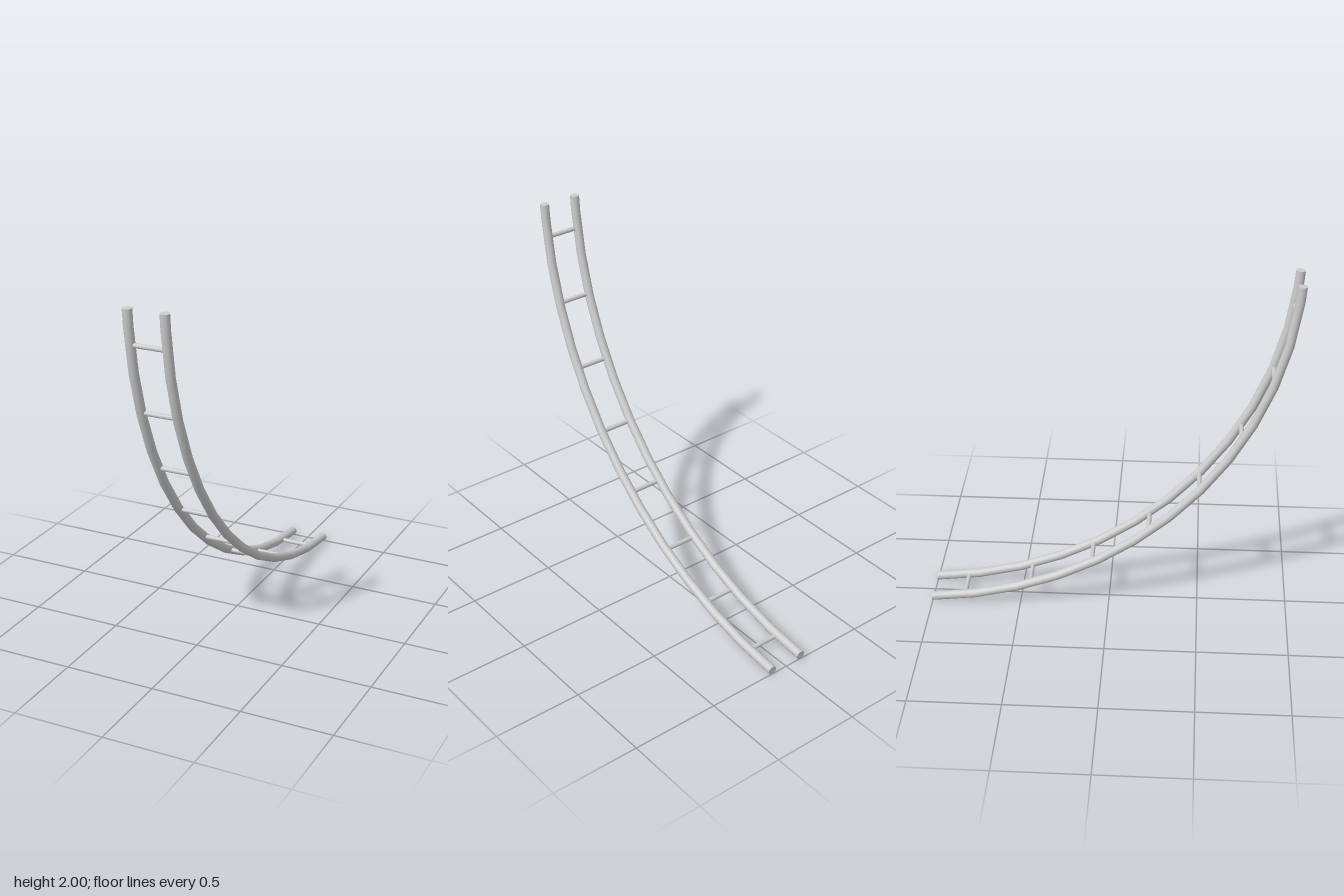
import * as THREE from 'three';

const DEG = Math.PI / 180;
const R = 2.1, CY = 2.1225, CZ = -1.1225; // circle that the ladder follows
const START = 3.3 * DEG, END = 86.7 * DEG, STEP = 6.74 * DEG, SEGMENTS = 13;
const RAIL_X = 0.1, RAIL_RADIUS = 0.025;
const RUNGS = 8, RUNG_STEP = 10.45 * DEG, RUNG_RADIUS = 0.0125;

// Bend an upright cylinder round the arc, row by row, turning its normals too
function bentRail() {
  const geo = new THREE.CylinderGeometry(RAIL_RADIUS, RAIL_RADIUS, 1, 20, SEGMENTS);
  const pos = geo.attributes.position, nor = geo.attributes.normal;
  for (let i = 0; i < pos.count; i++) {
    const row = Math.round((pos.getY(i) + 0.5) * SEGMENTS);
    const a = Math.min(START + row * STEP, END);
    const s = Math.sin(a), c = Math.cos(a);
    const rho = R + pos.getZ(i);
    pos.setXYZ(i, pos.getX(i), CY - rho * c, CZ + rho * s);
    const ny = nor.getY(i), nz = nor.getZ(i);
    nor.setXYZ(i, nor.getX(i), ny * s - nz * c, ny * c + nz * s);
  }
  return geo;
}

export function createModel() {
  const model = new THREE.Group();
  model.name = 'curvedLadder';
  const material = new THREE.MeshStandardMaterial({ color: 0xcccccc });

  // Two side rails
  const railGeo = bentRail();
  for (const side of [1, -1]) {
    const rail = new THREE.Mesh(railGeo, material);
    rail.name = side > 0 ? 'leftRail' : 'rightRail';
    rail.position.x = side * RAIL_X;
    model.add(rail);
  }

  // Rungs evenly spaced along the arc
  const rungGeo = new THREE.CylinderGeometry(RUNG_RADIUS, RUNG_RADIUS, RAIL_X * 2, 16);
  rungGeo.rotateZ(Math.PI / 2);
  for (let i = 0; i < RUNGS; i++) {
    const a = 45 * DEG + (i - (RUNGS - 1) / 2) * RUNG_STEP;
    const rung = new THREE.Mesh(rungGeo, material);
    rung.name = `rung${i + 1}`;
    rung.position.set(0, CY - R * Math.cos(a), CZ + R * Math.sin(a));
    model.add(rung);
  }
  return model;
}
